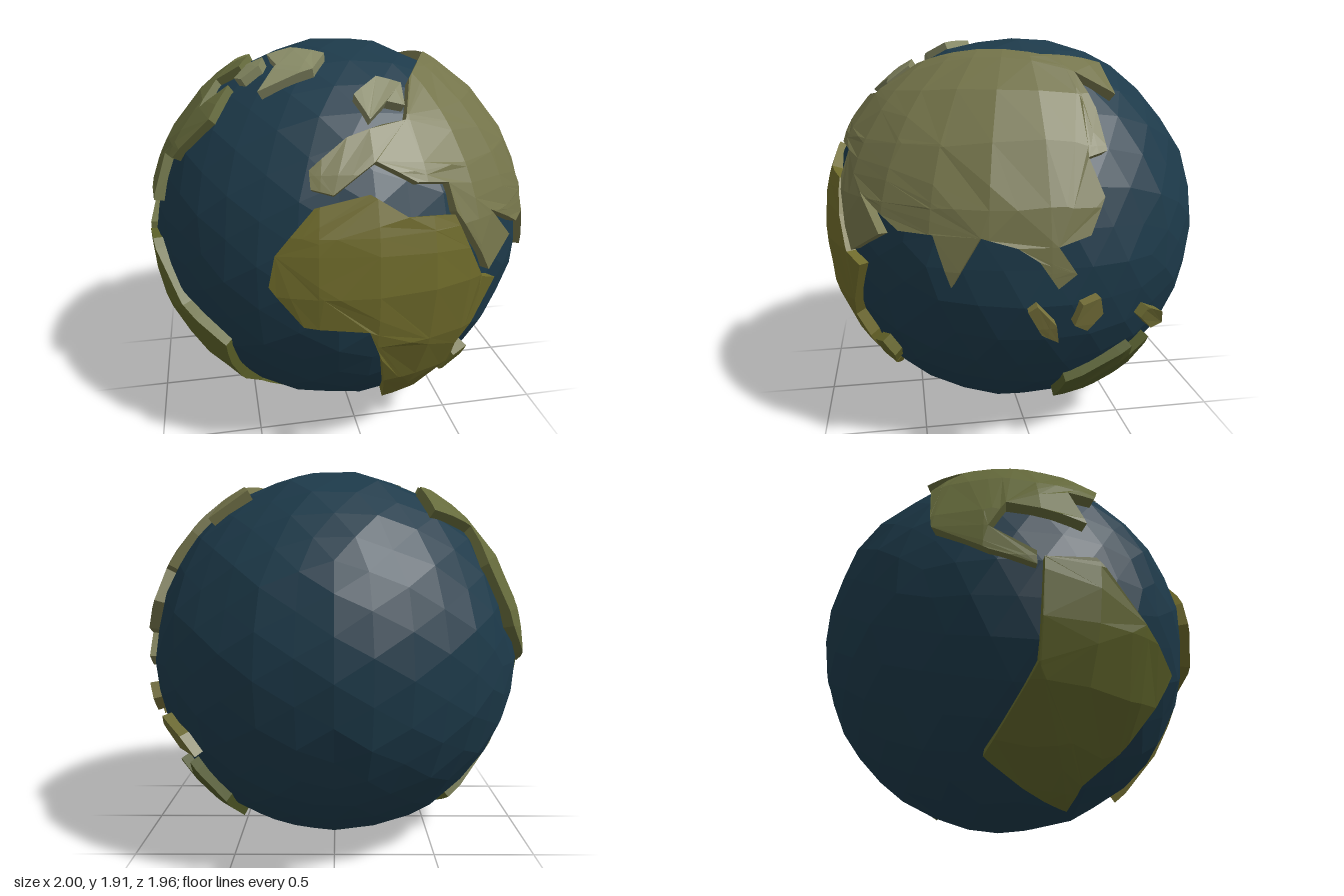
import * as THREE from 'three';

const V = (x, y, z) => new THREE.Vector3(x, y, z);
const rad = THREE.MathUtils.degToRad;
const TOP = 1.0, BASE = 0.92; // land surface and buried underside

// Outline points in hundredths, drawn on a disc facing (yaw, pitch), wrapped on to the unit sphere
const wrap = (yaw, pitch) => (...uv) => {
  const a = rad(yaw), e = rad(pitch);
  const right = V(Math.cos(a), 0, -Math.sin(a));
  const out = V(Math.sin(a) * Math.cos(e), Math.sin(e), Math.cos(a) * Math.cos(e));
  const up = out.clone().cross(right);
  const pts = [];
  for (let i = 0; i < uv.length; i += 2) {
    const u = uv[i] / 100, v = uv[i + 1] / 100;
    const w = Math.sqrt(Math.max(0, 1 - u * u - v * v));
    pts.push(V(0, 0, 0).addScaledVector(right, u).addScaledVector(up, v).addScaledVector(out, w).normalize());
  }
  return pts;
};
const front = wrap(0, 0), side = wrap(90, 0), above = wrap(0, 90);
const west = wrap(215, 25), south = wrap(140, -30);

// Small island: a tilted, stretched pentagon
function island(facing, u, v, length, width, tilt) {
  const c = Math.cos(rad(tilt)), s = Math.sin(rad(tilt)), uv = [];
  for (let i = 0; i < 5; i++) {
    const a = i * Math.PI * 0.4, x = length * Math.cos(a), y = width * Math.sin(a);
    uv.push(u + x * c - y * s, v + x * s + y * c);
  }
  return facing(...uv);
}

// Meridians and parallels every 15 degrees, used to facet the land
const cuts = [];
for (let d = 0; d < 180; d += 15) {
  const c = Math.cos(rad(d)), s = Math.sin(rad(d));
  cuts.push(p => c * p.x + s * p.z);
}
for (let d = -75; d <= 75; d += 15) cuts.push(p => p.y - Math.sin(rad(d)));

// Split a convex polygon in two along f = 0
function split(poly, f) {
  const val = poly.map(p => { const k = f(p); return Math.abs(k) < 1e-5 ? 0 : k; });
  if (val.every(k => k >= 0) || val.every(k => k <= 0)) return [poly];
  const pos = [], neg = [];
  poly.forEach((p, i) => {
    const j = (i + 1) % poly.length, a = val[i], b = val[j];
    if (a >= 0) pos.push(p);
    if (a <= 0) neg.push(p);
    if (a * b < 0) {
      const m = p.clone().lerp(poly[j], a / (a - b)).normalize();
      pos.push(m);
      neg.push(m);
    }
  });
  return [pos, neg].filter(q => q.length > 2);
}

// Raised plate of land: faceted top plus walls down into the sea
function landGeometry(outline) {
  const mid = outline.reduce((s, p) => s.add(p), V(0, 0, 0)).normalize();
  const e1 = V(0, 1, 0).cross(mid).normalize(), e2 = mid.clone().cross(e1);
  const flat = outline.map(p => new THREE.Vector2(p.dot(e1) / p.dot(mid), p.dot(e2) / p.dot(mid)));
  let polys = THREE.ShapeUtils.triangulateShape(flat, []).map(t => {
    const [a, b, c] = t.map(i => outline[i]);
    return b.clone().sub(a).cross(c.clone().sub(a)).dot(mid) > 0 ? [a, b, c] : [a, c, b];
  });
  for (const f of cuts) polys = polys.flatMap(p => split(p, f));

  const data = [], edges = new Map();
  const key = p => p.toArray().map(k => Math.round(k * 1e4)).join();
  const put = (p, r) => data.push(p.x * r, p.y * r, p.z * r);
  for (const p of polys) {
    for (let i = 1; i < p.length - 1; i++) [p[0], p[i], p[i + 1]].forEach(q => put(q, TOP));
    p.forEach((a, i) => {
      const b = p[(i + 1) % p.length], ka = key(a), kb = key(b);
      if (ka === kb) return;
      if (!edges.delete(kb + '|' + ka)) edges.set(ka + '|' + kb, [a, b]);
    });
  }
  for (const [a, b] of edges.values()) {
    put(a, TOP); put(a, BASE); put(b, BASE);
    put(a, TOP); put(b, BASE); put(b, TOP);
  }
  const g = new THREE.BufferGeometry();
  g.setAttribute('position', new THREE.Float32BufferAttribute(data, 3));
  g.computeVertexNormals();
  return g;
}

// Low-poly sea with a gently uneven surface
function oceanGeometry() {
  const g = new THREE.IcosahedronGeometry(1, 5), pos = g.attributes.position, p = V(0, 0, 0);
  for (let i = 0; i < pos.count; i++) {
    p.fromBufferAttribute(pos, i).normalize();
    const bump = Math.sin(p.x * 17 + p.y * 5) + Math.sin(p.y * 19 - p.z * 7) + Math.sin(p.z * 23 + p.x * 11);
    p.multiplyScalar(0.957 + 0.005 * bump);
    pos.setXYZ(i, p.x, p.y, p.z);
  }
  g.computeVertexNormals();
  return g;
}

export function createModel() {
  const globe = new THREE.Group();
  globe.name = 'globe';
  const add = (name, color, geometry) => {
    const mesh = new THREE.Mesh(geometry, new THREE.MeshStandardMaterial({ color, flatShading: true }));
    mesh.name = name;
    mesh.position.set(0, 0.965, -0.02);
    globe.add(mesh);
  };
  const land = (name, color, ...coasts) => add(name, color, landGeometry(coasts.flat()));

  add('ocean', 0x1d3a4a, oceanGeometry());

  land('africa', 0x6e6a2a, front(-26, 38, -3, 43, 13, 33, 35, 31, 43, 15, 51, -1, 60, -5, 41, -36, 41, -48,
    28, -70, 12, -77, 3, -35, -4, -17, -32, -14, -46, 4, -43, 18));

  // Atlantic, Arctic, Pacific and Indian coasts, then Arabia and the Mediterranean
  land('eurasia', 0x74744a,
    front(-27, 45, -27, 52, -10, 64, 6, 68, 17, 69),
    above(24, -50, 38, -22, 48, 5, 42, 35, 61, 37, 57, 19),
    side(25, 65, 27, 48, 18, 46, 24, 30, 17, 15, 3, 11, 11, -1, 3, -7, -5, 5, -14, 11, -29, 15, -41, -7,
      -48, 15, -62, 15, -78, 28),
    front(70, 12, 55, 1, 36, 32, 33, 44, 18, 46, 1, 55, -18, 43));
  land('scandinavia', 0x80825e, front(-4, 79, 8, 85, 19, 82, 18, 74, 10, 76, 1, 70));
  land('greenland', 0x8a8d68, above(-37, -18, -26, -20, -12, -34, -19, -44, -44, -44, -34, -32));

  // Pacific coast northward, Arctic coast, Atlantic coast, then the gulf
  land('northAmerica', 0x666b3c,
    west(66, -29, 43, -20, 32, 10, 36, 33, 10, 38, 14, 50),
    above(-42, 30, -53, 3, -45, -5, -50, -14, -61, -9, -70, -22, -56, -26, -66, -37, -84, -29),
    front(-88, 45, -95, 23),
    west(68, 0, 65, -17, 80, -23, 80, -29));
  land('southAmerica', 0x5f642a,
    front(-97, 4, -84, -21, -65, -35, -58, -67, -47, -84, -31, -92),
    west(39, -91, 73, -62, 82, -24));
  land('australia', 0x525a28, south(-51, -24, -29, 1, -24, -7, -17, 4, -7, -21, -17, -45, -27, -38, -41, -43));

  land('madagascar', 0x666629, island(front, 46, -54, 10, 5, 50));
  land('arcticIsland', 0x80845e, island(above, -46, -23, 8, 5, 30));
  land('westernIsland', 0x75703a, island(side, -2, -24, 12, 4, -55));
  land('middleIsland', 0x75703a, island(side, 18, -21, 9, 6, 60));
  land('easternIsland', 0x6c6a32, island(side, 55, -33, 12, 5, -40));
  return globe;
}
